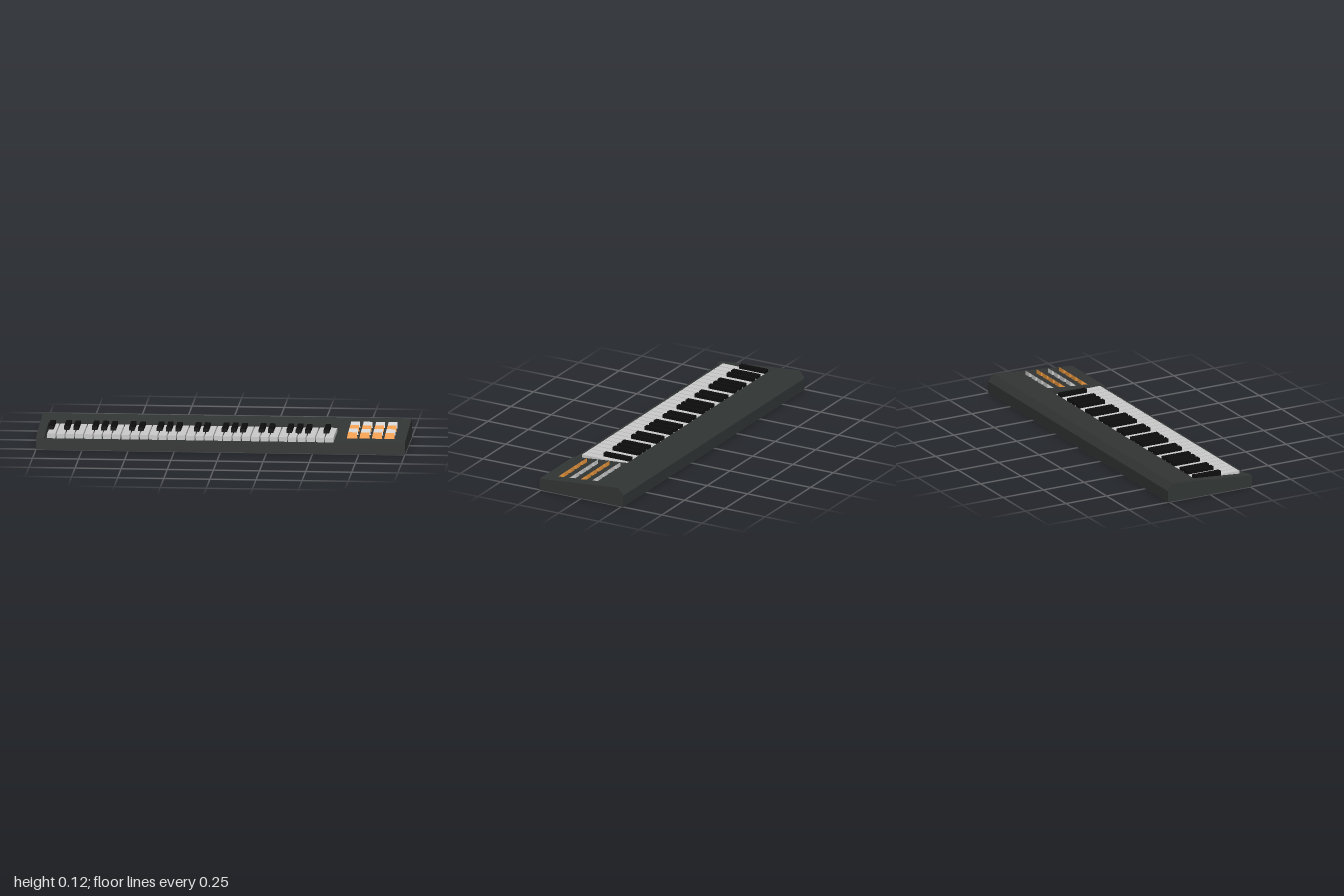
import * as THREE from 'three';

const paint = (color) => new THREE.MeshStandardMaterial({ color, flatShading: true });
const dark = paint(0x323635);
const grey = paint(0xcccccc);
const black = paint(0x0d0d0d);
const orange = paint(0xe8953c);

// Height of the sloping top panel at depth z
const panelY = (z) => 0.065 + (0.26 - z) * 0.04 / 0.49;

// Side profile of [z, y] points swept from x0 to x1
function sweep(points, x0, x1) {
  const shape = new THREE.Shape(points.map(([z, y]) => new THREE.Vector2(z, y)));
  const geo = new THREE.ExtrudeGeometry(shape, { depth: x1 - x0, bevelEnabled: false });
  return geo.rotateY(-Math.PI / 2).translate(x1, 0, 0);
}

export function createModel() {
  const model = new THREE.Group();
  const add = (parent, name, geo, mat, x = 0, y = 0, z = 0) => {
    const mesh = new THREE.Mesh(geo, mat);
    mesh.name = name;
    mesh.position.set(x, y, z);
    parent.add(mesh);
    return mesh;
  };
  const group = (name) => {
    const g = new THREE.Group();
    g.name = name;
    model.add(g);
    return g;
  };

  // Case: solid ends, and a middle stepped down for the key bed
  const bedLeft = -0.955, bedRight = 0.625, bedBack = -0.075, bedY = 0.055;
  const back = [[-0.23, 0.105], [-0.26, 0.065], [-0.26, 0]];
  const full = [[0.26, 0], [0.26, 0.065], ...back];
  const stepped = [[0.26, 0], [0.26, bedY], [bedBack, bedY], [bedBack, panelY(bedBack)], ...back];
  const body = group('case');
  add(body, 'caseRightEnd', sweep(full, -1, bedLeft), dark);
  add(body, 'caseKeyBed', sweep(stepped, bedLeft, bedRight), dark);
  add(body, 'caseControlEnd', sweep(full, bedRight, 1), dark);

  // White keys
  const count = 31, start = -0.945, pitch = 1.557 / count;
  const whiteGeo = new THREE.BoxGeometry(pitch - 0.006, 0.025, 0.28);
  const whites = group('whiteKeys');
  for (let i = 0; i < count; i++) {
    add(whites, 'whiteKey', whiteGeo, grey, start + (i + 0.5) * pitch, 0.0675, 0.075);
  }

  // Black keys in repeating groups of two and three
  const blackGeo = new THREE.BoxGeometry(0.029, 0.04, 0.165);
  const blacks = group('blackKeys');
  for (let i = 0; i < count; i++) {
    if (i % 7 === 1 || i % 7 === 4) continue;
    add(blacks, 'blackKey', blackGeo, black, start + i * pitch + (i ? 0 : 0.0145), 0.08, 0.0185);
  }

  // Wedge pads: four rows, each rising to an upright, narrower back edge
  const pads = group('pads');
  [-0.048, 0.022, 0.092, 0.162].forEach((z, row) => {
    const zf = z + 0.019, zb = z - 0.019;
    const geo = sweep([[zf, panelY(zf) - 0.002], [zb, panelY(zb) - 0.002], [zb, panelY(zb) + 0.024]].reverse(), -0.029, 0.029);
    const p = geo.attributes.position;
    for (let i = 0; i < p.count; i++) if (p.getZ(i) < z) p.setX(i, p.getX(i) * 0.82);
    geo.computeVertexNormals();
    for (let col = 0; col < 4; col++) {
      add(pads, 'pad', geo, row % 2 ? orange : grey, 0.708 + col * 0.0675, 0, 0);
    }
  });

  return model;
}
